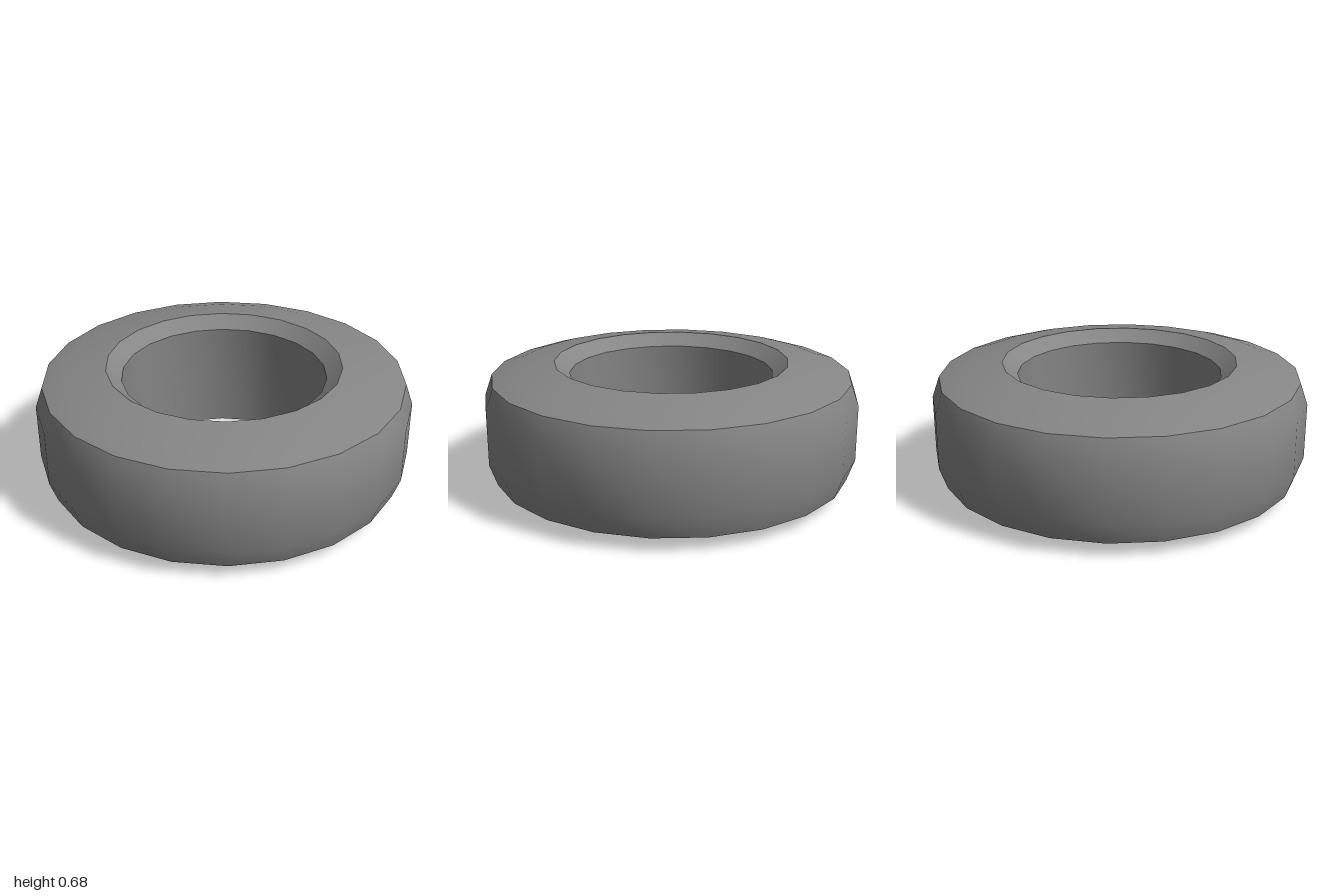
import * as THREE from 'three';
import { toCreasedNormals } from 'three/addons/utils/BufferGeometryUtils.js';

const SIDES = 22;

// Closed cross-section of the ring as [radius, height], running up the outside
const PROFILE = [
  [0.56, 0.005],                // bottom rim of the hole
  [0.625, 0], [0.84, 0.035],    // lower sidewall
  [0.96, 0.075],                // lower shoulder
  [1, 0.19], [1, 0.49],         // tread
  [0.96, 0.603],                // upper shoulder
  [0.84, 0.64], [0.625, 0.675], // upper sidewall
  [0.545, 0.61],                // bevel into the hole
  [0.56, 0.005],                // hole wall, back to the start
];

export function createModel() {
  const group = new THREE.Group();
  group.name = 'tire';

  const points = PROFILE.map(([r, y]) => new THREE.Vector2(r, y));
  // Start on the x axis so that corners lie at x = 1 and x = -1
  const lathe = new THREE.LatheGeometry(points, SIDES, Math.PI / 2, Math.PI * 2);
  const geometry = toCreasedNormals(lathe, THREE.MathUtils.degToRad(30));

  // Dark grey rubber
  const rubber = new THREE.MeshStandardMaterial({ color: 0x868686 });
  const ring = new THREE.Mesh(geometry, rubber);
  ring.name = 'tireRing';
  group.add(ring);
  return group;
}
